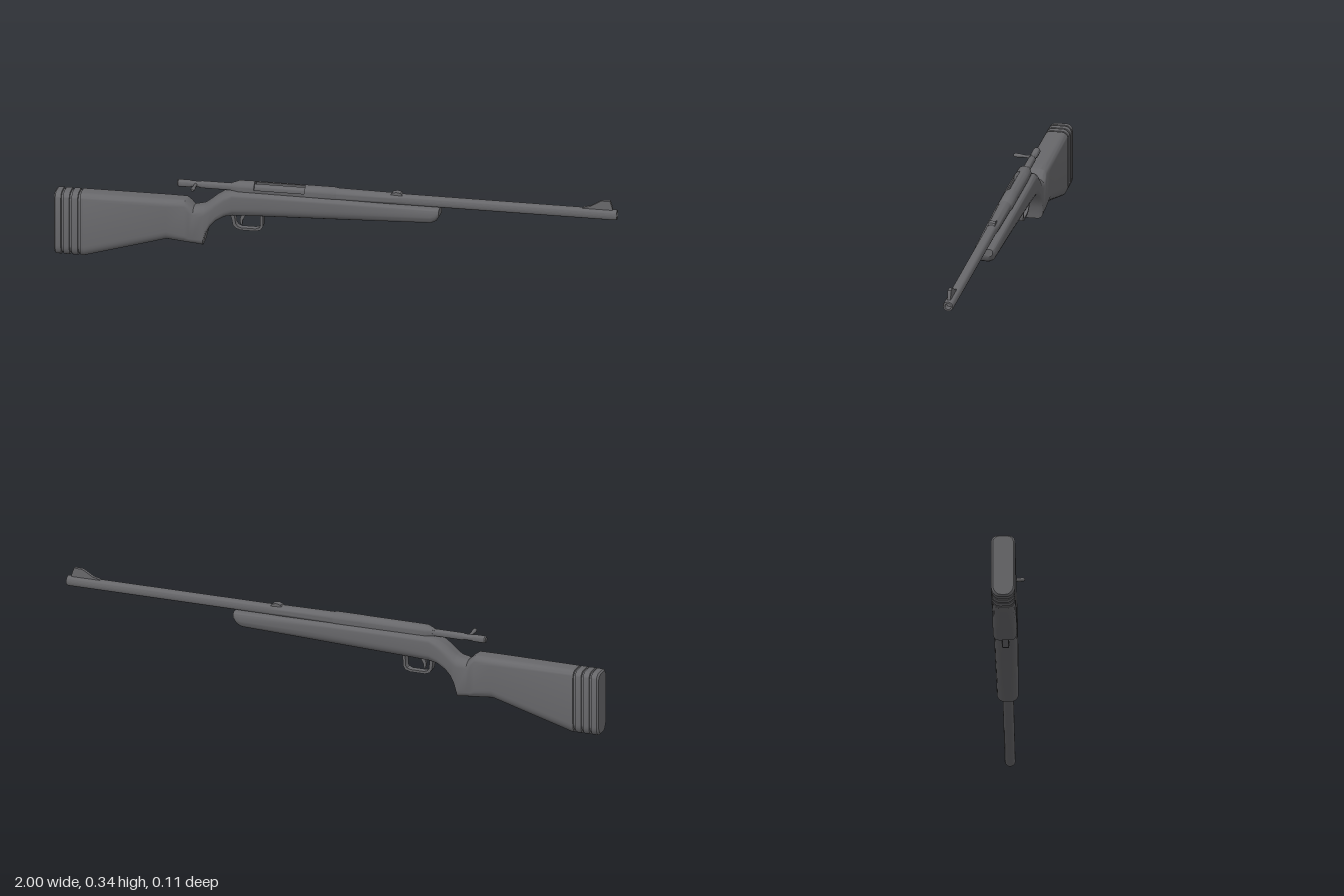
import * as THREE from 'three';
import { toCreasedNormals } from 'three/addons/utils/BufferGeometryUtils.js';

const AXIS_Y = 0.293, AXIS_Z = -0.0125;

export function createModel() {
  const group = new THREE.Group();
  const steel = new THREE.MeshStandardMaterial({ color: 0x67676a, side: THREE.DoubleSide });
  steel.name = 'dark grey';

  const add = (name, geo, x = 0, y = 0, z = AXIS_Z) => {
    const m = new THREE.Mesh(toCreasedNormals(geo, 0.6), steel);
    m.name = name;
    m.position.set(x, y, z);
    group.add(m);
    return m;
  };
  // Turned part along x from [x, radius] pairs
  const turned = (name, pts, seg = 24) => {
    const g = new THREE.LatheGeometry(pts.map(([x, r]) => new THREE.Vector2(r, x)), seg);
    g.rotateZ(-Math.PI / 2);
    return add(name, g, 0, AXIS_Y);
  };
  // Side outline extruded about the centre plane
  const plate = (pts, width, hole) => {
    const s = new THREE.Shape(pts.map(p => new THREE.Vector2(...p)));
    if (hole) s.holes.push(new THREE.Path(hole.map(p => new THREE.Vector2(...p))));
    return new THREE.ExtrudeGeometry(s, { depth: width, bevelEnabled: false }).translate(0, 0, -width / 2);
  };

  // Rounded cross-section in the yz plane
  const section = ([x, bot, top, hw, rt, rb]) => {
    const ring = [], n = 6, hh = (top - bot) / 2;
    for (let c = 0; c < 4; c++) {
      const rz = Math.min(c < 2 ? rt : rb, hw - 0.001);
      const ry = Math.min(c < 2 ? rz : rz * 1.3, hh);
      const cz = (hw - rz) * (c === 0 || c === 3 ? 1 : -1);
      const cy = c < 2 ? top - ry : bot + ry;
      for (let i = 0; i <= n; i++) {
        const a = (c + i / n) * Math.PI / 2;
        ring.push([x, cy + ry * Math.sin(a), cz + rz * Math.cos(a)]);
      }
    }
    return ring;
  };
  // Skin joining the sections, with closed ends
  const loft = (stations) => {
    const rings = stations.map(section), n = rings[0].length, pos = [], idx = [];
    rings.forEach(r => r.forEach(p => pos.push(...p)));
    for (let i = 0; i < rings.length - 1; i++) for (let j = 0; j < n; j++) {
      const k = (j + 1) % n, a = i * n + j, b = a + n, c = (i + 1) * n + k, d = i * n + k;
      idx.push(a, b, c, a, c, d);
    }
    const end = (rings.length - 1) * n;
    for (let j = 1; j < n - 1; j++) idx.push(0, j, j + 1, end, end + j + 1, end + j);
    const g = new THREE.BufferGeometry();
    g.setAttribute('position', new THREE.Float32BufferAttribute(pos, 3));
    g.setIndex(idx);
    return g;
  };

  // Recoil pad: layers separated by thin grooves
  const pad = [[-1, 0.007, 0.231, 0.036, 0.022, 0.028], [-0.994, 0.001, 0.236, 0.042, 0.024, 0.03]];
  for (const x of [-0.97, -0.94, -0.91]) {
    for (const [dx, inset] of [[-0.004, 0], [-0.003, 0.005], [0.003, 0.005], [0.004, 0]]) {
      pad.push([x + dx, 0.001 + inset, 0.237 - inset, 0.0425 - inset, 0.024, 0.03]);
    }
  }
  add('recoilPad', loft([...pad, [-0.895, 0.001, 0.237, 0.0425, 0.024, 0.03]]));

  // Stock: x, bottom, top, half width, top radius, bottom radius
  add('stock', loft([
    [-0.895, 0.001, 0.237, 0.0425, 0.024, 0.03],
    [-0.6, 0.088, 0.238, 0.0425, 0.024, 0.026],
    [-0.535, 0.083, 0.238, 0.0425, 0.026, 0.022],
    [-0.52, 0.082, 0.228, 0.0425, 0.03, 0.02],
    [-0.505, 0.081, 0.214, 0.042, 0.034, 0.02],
    [-0.47, 0.077, 0.222, 0.042, 0.034, 0.02],
    [-0.466, 0.095, 0.224, 0.042, 0.034, 0.016],
    [-0.459, 0.122, 0.229, 0.042, 0.034, 0.014],
    [-0.445, 0.15, 0.24, 0.042, 0.034, 0.014],
    [-0.425, 0.172, 0.257, 0.042, 0.032, 0.014],
    [-0.395, 0.189, 0.275, 0.042, 0.026, 0.018],
    [-0.365, 0.194, 0.284, 0.042, 0.018, 0.024],
    [-0.26, 0.197, 0.284, 0.042, 0.016, 0.028],
    [0.0, 0.205, 0.282, 0.041, 0.014, 0.03],
    [0.34, 0.217, 0.275, 0.038, 0.012, 0.03],
    [0.358, 0.226, 0.274, 0.036, 0.012, 0.028],
    [0.37, 0.245, 0.273, 0.032, 0.01, 0.02],
  ]));

  // Barrel with a hollow muzzle
  turned('barrel', [[0, 0], [0, 0.0235], [0.19, 0.0215], [0.25, 0.0195], [0.994, 0.019],
    [1, 0.017], [1, 0.011], [0.97, 0.011], [0.97, 0]]);

  // Receiver: closed ends around an open loading port
  turned('receiverRear', [[-0.375, 0], [-0.375, 0.014], [-0.345, 0.025], [-0.29, 0.026], [-0.29, 0]]);
  turned('receiverFront', [[-0.11, 0], [-0.11, 0.026], [-0.004, 0.026], [0.003, 0.0235], [0.003, 0]]);
  const wall = new THREE.CylinderGeometry(0.026, 0.026, 0.18, 24, 1, true, -0.1, Math.PI * 2 - 1.3);
  add('receiverWall', wall.rotateZ(-Math.PI / 2), -0.2, AXIS_Y);

  // Bolt, running through the port and out of the back
  turned('bolt', [[-0.566, 0], [-0.566, 0.01], [-0.562, 0.013], [-0.52, 0.013], [-0.515, 0.011],
    [-0.485, 0.011], [-0.48, 0.013], [-0.37, 0.013], [-0.37, 0.016], [-0.1, 0.016]]);
  const handle = new THREE.LatheGeometry([[0, 0], [0.006, 0], [0.005, 0.035], [0.007, 0.05], [0.007, 0.064],
    [0.004, 0.07], [0, 0.0705]].map(p => new THREE.Vector2(...p)), 14);
  add('boltHandle', handle.rotateX(Math.PI / 2 - 0.05), -0.5, AXIS_Y);

  // Trigger guard, tapering in width towards the bottom
  const guard = plate(
    [[-0.385, 0.2], [-0.372, 0.185], [-0.367, 0.155], [-0.357, 0.142], [-0.34, 0.136], [-0.285, 0.136],
      [-0.267, 0.142], [-0.26, 0.155], [-0.259, 0.205]], 0.036,
    [[-0.361, 0.198], [-0.357, 0.16], [-0.35, 0.15], [-0.338, 0.145], [-0.287, 0.145],
      [-0.274, 0.15], [-0.269, 0.158], [-0.269, 0.198]]);
  const p = guard.attributes.position;
  for (let i = 0; i < p.count; i++) p.setZ(i, p.getZ(i) * THREE.MathUtils.mapLinear(p.getY(i), 0.136, 0.2, 0.6, 1));
  add('triggerGuard', guard);
  add('trigger', plate([[-0.335, 0.2], [-0.343, 0.175], [-0.341, 0.155], [-0.335, 0.155],
    [-0.333, 0.172], [-0.318, 0.2]], 0.012));

  // Sights
  add('frontSight', plate([[0.87, 0.305], [0.88, 0.314], [0.905, 0.32], [0.935, 0.338], [0.945, 0.343],
    [0.975, 0.344], [0.983, 0.32], [0.985, 0.305]], 0.012));
  add('rearSight', plate([[0.19, 0.305], [0.2, 0.317], [0.215, 0.321], [0.23, 0.318], [0.24, 0.305]], 0.024));

  return group;
}
